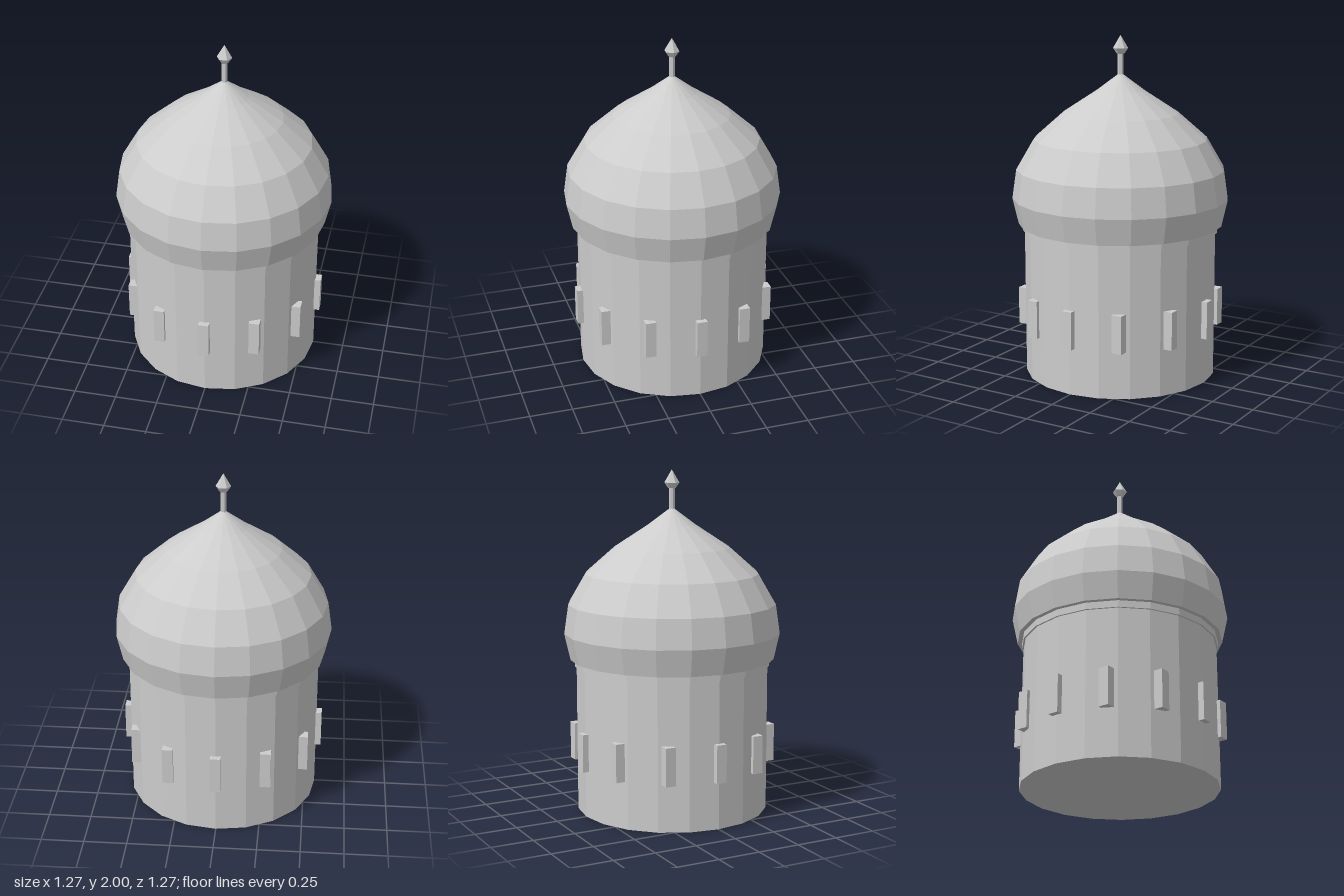
import * as THREE from 'three';

export function createModel() {
  const group = new THREE.Group();
  const stone = new THREE.MeshStandardMaterial({ color: 0xcccccc, flatShading: true });
  stone.name = 'pale stone';

  const add = (name, geometry, x = 0, y = 0, z = 0) => {
    const mesh = new THREE.Mesh(geometry, stone);
    mesh.name = name;
    mesh.position.set(x, y, z);
    group.add(mesh);
    return mesh;
  };
  // Profile points are [radius, height], from bottom to top
  const lathe = (points, sides) =>
    new THREE.LatheGeometry(points.map(([r, y]) => new THREE.Vector2(r, y)), sides);

  // Drum and the thin collar under the dome
  add('drum', new THREE.CylinderGeometry(0.565, 0.565, 0.88, 20), 0, 0.44, 0);
  add('collar', new THREE.CylinderGeometry(0.575, 0.575, 0.05, 20), 0, 0.885, 0);

  // Onion dome, closed underneath
  add('dome', lathe([
    [0, 0.9], [0.6, 0.9], [0.635, 1.055], [0.61, 1.225], [0.508, 1.4],
    [0.338, 1.55], [0.14, 1.68], [0, 1.785],
  ], 20));

  // Finial: six-sided rod and spear tip
  add('finialRod', new THREE.CylinderGeometry(0.017, 0.017, 0.14, 6), 0, 1.83, 0).rotation.y = Math.PI / 2;
  add('finialTip', lathe([[0, 1.892], [0.022, 1.892], [0.044, 1.924], [0, 2]], 6)).rotation.y = Math.PI / 2;

  // Ring of twelve square-set window blocks
  const block = new THREE.BoxGeometry(0.062, 0.222, 0.062);
  for (let i = 0; i < 12; i++) {
    const a = (i * Math.PI) / 6;
    add('windowBlock', block, 0.565 * Math.sin(a), 0.388, 0.565 * Math.cos(a));
  }
  return group;
}
